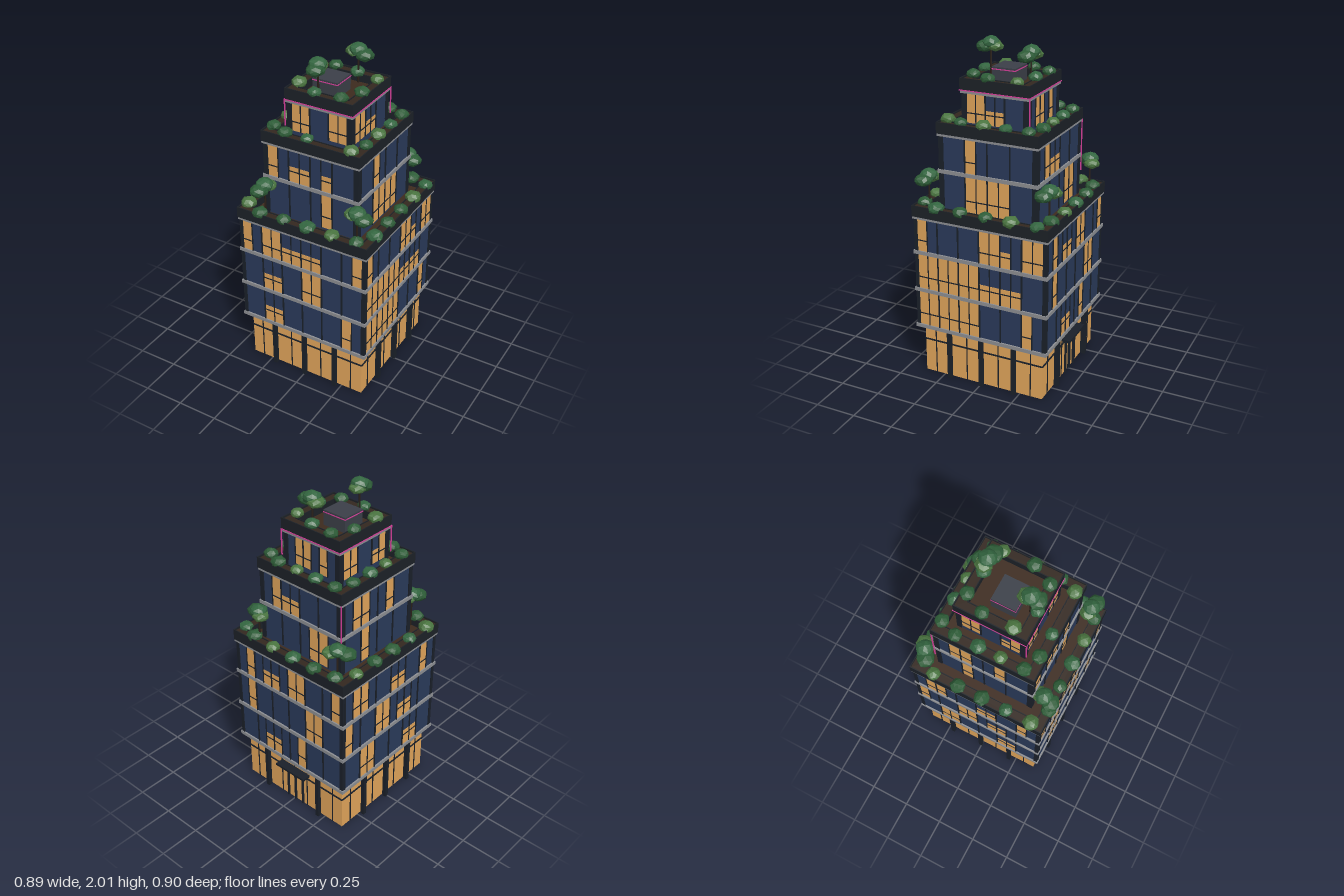
import * as THREE from 'three';

const mat = (color, extra = {}) => new THREE.MeshStandardMaterial({ color, ...extra });
const M = {
  glass: mat(0x2a3a5a), lit: mat(0xe0a45a), frame: mat(0x1a2029), slab: mat(0x8c8e92),
  parapet: mat(0x1c2127), soil: mat(0x33271f), deck: mat(0x3d2a1e), neon: mat(0xd8409c),
  unit: mat(0x3b3f48), bark: mat(0x2a2019),
  leaf: [0x2d5c37, 0x4a7540, 0x336640].map(c => mat(c, { flatShading: true })),
};
const unitBox = new THREE.BoxGeometry(1, 1, 1);

function box(parent, name, m, w, h, d, x, y, z) {
  const b = new THREE.Mesh(unitBox, m);
  b.name = name;
  b.scale.set(w, h, d);
  b.position.set(x, y, z);
  parent.add(b);
  return b;
}

// Square ring between two half widths, from y0 to y1
function ring(parent, name, m, outer, inner, y0, y1) {
  const square = (P, r) => new P([[-r, -r], [r, -r], [r, r], [-r, r]].map(p => new THREE.Vector2(...p)));
  const s = square(THREE.Shape, outer);
  s.holes.push(square(THREE.Path, inner));
  const g = new THREE.ExtrudeGeometry(s, { depth: y1 - y0, bevelEnabled: false });
  g.rotateX(-Math.PI / 2).translate(0, y0, 0);
  const mesh = new THREE.Mesh(g, m);
  mesh.name = name;
  parent.add(mesh);
  return mesh;
}

// Four sides: front, +x, back, -x
function eachSide(parent, name, build) {
  for (let i = 0; i < 4; i++) {
    const side = new THREE.Group();
    side.name = name;
    side.rotation.y = i * Math.PI / 2;
    parent.add(side);
    build(side, i);
  }
}

// One storey of one facade; F = fully lit pane, h = lower part lit, . = dark
function storey(side, row, half, span, y0, y1) {
  const n = row.length, w = 2 * span / n, H = y1 - y0;
  for (let k = 0; k <= n; k++) {
    const pane = row[k], x = -span + k * w;
    const nearLit = 'Fh'.includes(pane ?? '.') || 'Fh'.includes(row[k - 1] ?? '.');
    if (k % 2 === 0 || nearLit)
      box(side, 'mullion', M.frame, k % 2 ? 0.005 : 0.008, H, 0.012, x, (y0 + y1) / 2, half);
    if (pane === 'F' || pane === 'h') {
      const h = pane === 'F' ? H : H * 0.48;
      box(side, 'litWindow', M.lit, w, h, 0.004, x + w / 2, y0 + h / 2, half);
      box(side, 'transom', M.frame, w, 0.006, 0.01, x + w / 2, y0 + H * 0.34, half);
    }
  }
}

const tiers = [
  { half: 0.415, span: 0.4, floors: [[0.33, 0.55], [0.57, 0.79], [0.81, 1.01]], base: 0.31, deck: 1.035,
    rows: [
      ['..hh......F.', '..hh..FF....', 'F.FFhhhh...F'],
      ['FFFFFF....F.', 'FFFFFFhhhh..', 'F.....FFh.FF'],
      ['...hh..F....', '.F......FF..', '.F.hh.FF...F'],
      ['..FF....hh..', 'F...FF.hh...', '.FF...hh..F.'],
    ] },
  { half: 0.303, span: 0.28, floors: [[1.05, 1.27], [1.29, 1.49]], base: 1.03, deck: 1.515,
    rows: [
      ['.....F..', 'F.hh.h..'],
      ['..FFFF..', '..F.....'],
      ['.....FF.', '.Fhh....'],
      ['..F.....', '.FF..F..'],
    ] },
  { half: 0.203, span: 0.178, floors: [[1.555, 1.725]], base: 1.51, deck: 1.755,
    rows: [['FF..FF'], ['FFhh..'], ['.FF.F.'], ['FF..hF']] },
];

function buildTier(parent, t) {
  const g = new THREE.Group();
  g.name = 'tier';
  parent.add(g);
  const top = t.deck - 0.02;
  box(g, 'glassCore', M.glass, 2 * t.half, top - t.base, 2 * t.half, 0, (top + t.base) / 2, 0);
  eachSide(g, 'facade', (side, i) =>
    t.floors.forEach(([y0, y1], f) => storey(side, t.rows[i][f], t.half, t.span, y0, y1)));
  // Corner piers
  const pw = t.half - t.span + 0.004;
  for (const sx of [-1, 1]) for (const sz of [-1, 1])
    box(g, 'cornerPier', M.frame, pw, top - t.base, pw,
      sx * (t.span + pw / 2), (top + t.base) / 2, sz * (t.span + pw / 2));
  // Floor slabs
  const slabs = t.floors.map(f => f[1] + 0.01);
  if (t.base < 0.5) slabs.unshift(0.32);
  for (const y of slabs) box(g, 'floorSlab', M.slab, 2 * t.half + 0.02, 0.022, 2 * t.half + 0.02, 0, y, 0);
  // Terrace: deck, planter walls and soil
  const o = t.half + 0.012;
  box(g, 'terraceDeck', M.deck, 2 * o - 0.01, 0.015, 2 * o - 0.01, 0, t.deck - 0.005, 0);
  ring(g, 'parapet', M.parapet, o, o - 0.006, t.deck - 0.012, t.deck + 0.055);
  ring(g, 'planterSoil', M.soil, o - 0.006, o - 0.055, t.deck, t.deck + 0.045);
  ring(g, 'planterCurb', M.parapet, o - 0.055, o - 0.06, t.deck, t.deck + 0.05);
}

// Ground floor lobby with columns, glazing bars and rear entrance
function buildLobby(parent) {
  const g = new THREE.Group();
  g.name = 'lobby';
  parent.add(g);
  box(g, 'lobbyGlass', M.lit, 0.77, 0.31, 0.77, 0, 0.155, 0);
  eachSide(g, 'lobbySide', (side, i) => {
    for (let k = -3; k <= 3; k++) box(side, 'lobbyMullion', M.frame, 0.005, 0.31, 0.008, k * 0.104, 0.155, 0.386);
    box(side, 'lobbyRail', M.frame, 0.772, 0.008, 0.01, 0, 0.217, 0.386);
    for (const x of [-0.21, 0, 0.21])
      if (i !== 2 || x) box(side, 'column', M.frame, 0.024, 0.31, 0.024, x, 0.155, 0.406);
    if (i === 2) {
      box(side, 'canopy', M.frame, 0.23, 0.014, 0.06, 0.01, 0.247, 0.41);
      for (const x of [-0.06, 0, 0.06]) box(side, 'doorFrame', M.frame, 0.01, 0.2, 0.014, x + 0.01, 0.1, 0.39);
      box(side, 'doorHead', M.frame, 0.13, 0.01, 0.014, 0.01, 0.2, 0.39);
    }
  });
}

// Lumpy low-poly foliage
function leafGeometry(seed) {
  const g = new THREE.IcosahedronGeometry(1, 1), p = g.attributes.position, v = new THREE.Vector3();
  for (let i = 0; i < p.count; i++) {
    v.fromBufferAttribute(p, i);
    v.multiplyScalar(1 + 0.1 * Math.sin(v.x * 5 + seed) * Math.cos(v.z * 4 + v.y * 3 + seed * 2));
    p.setXYZ(i, v.x, v.y, v.z);
  }
  g.computeVertexNormals();
  return g;
}
const leaves = [0, 1.7, 3.1].map(leafGeometry);

function blob(parent, name, i, x, y, z, r, flat) {
  const m = new THREE.Mesh(leaves[i % 3], M.leaf[(i * 2 + (i >> 2)) % 3]);
  m.name = name;
  m.position.set(x, y, z);
  m.scale.set(r, r * flat, r);
  m.rotation.y = i * 1.3;
  parent.add(m);
}

function tree(parent, x, z, y0, yc, dx, dz) {
  const g = new THREE.Group();
  g.name = 'tree';
  parent.add(g);
  const trunk = new THREE.Mesh(new THREE.CylinderGeometry(0.005, 0.007, yc - y0, 6), M.bark);
  trunk.name = 'trunk';
  trunk.position.set(x, (y0 + yc) / 2, z);
  g.add(trunk);
  blob(g, 'crown', 1, x, yc + 0.022, z, 0.053, 0.72);
  blob(g, 'crown', 0, x + dx, yc, z + dz, 0.053, 0.65);
  blob(g, 'crown', 6, x - dx * 0.7, yc + 0.004, z - dz * 0.7, 0.048, 0.65);
}

export function createModel() {
  const model = new THREE.Group();
  model.name = 'terracedTower';
  const building = new THREE.Group();
  building.name = 'building';
  building.position.z = -0.006;
  model.add(building);

  buildLobby(building);
  tiers.forEach(t => buildTier(building, t));

  // Rooftop unit and neon trim
  box(building, 'roofUnit', M.unit, 0.157, 0.1, 0.145, -0.028, 1.8, 0.023);
  const trim = ring(building, 'roofUnitNeon', M.neon, 0.5, 0.49, 1.834, 1.84);
  trim.scale.set(0.161, 1, 0.149);
  trim.position.set(-0.028, 0, 0.023);
  ring(building, 'crownNeon', M.neon, 0.218, 0.212, 1.738, 1.744);
  for (const s of [-1, 1]) box(building, 'neonTube', M.neon, 0.006, 0.16, 0.006, s * 0.215, 1.66, -s * 0.215);
  box(building, 'neonTube', M.neon, 0.006, 0.32, 0.006, -0.312, 1.34, -0.312);

  // Shrubs along the planters: [x, z]
  const shrubs = [
    [1.088, 0.045, [[-0.186, -0.405], [-0.028, -0.405], [0.13, -0.405], [0.29, -0.39], [-0.33, -0.39],
      [0.397, -0.355], [0.397, -0.195], [0.397, -0.04], [0.397, 0.12], [0.397, 0.275],
      [-0.397, -0.29], [-0.397, -0.13], [-0.397, 0.025], [-0.397, 0.18], [-0.397, 0.34],
      [-0.28, 0.395], [-0.126, 0.39], [0.032, 0.39], [0.19, 0.39], [0.34, 0.38]]],
    [1.575, 0.041, [[-0.237, -0.285], [-0.098, -0.285], [0.04, -0.285], [0.177, -0.285],
      [0.277, -0.245], [0.277, -0.108], [0.277, 0.03], [0.277, 0.17],
      [-0.277, -0.185], [-0.277, -0.043], [-0.277, 0.09], [-0.277, 0.23],
      [-0.177, 0.27], [-0.035, 0.27], [0.24, 0.27]]],
    [1.815, 0.041, [[-0.12, -0.185], [0.03, -0.17], [0.177, -0.13], [0.18, 0.05], [0.12, 0.17],
      [-0.04, 0.18], [-0.177, 0.113], [-0.18, -0.067]]],
  ];
  for (const [y, r, spots] of shrubs)
    spots.forEach(([x, z], i) => blob(model, 'shrub', i, x, y, z, r * (1 + 0.08 * Math.sin(i * 2.3)), 0.72));

  // Terrace trees, then roof trees
  for (const [x, z, dx, dz] of [[-0.33, -0.37, -0.045, 0.03], [0.27, -0.37, 0.04, 0.02],
    [0.33, 0.355, 0.045, 0.01], [-0.27, 0.355, -0.01, 0.045]]) tree(model, x, z, 1.04, 1.235, dx, dz);
  tree(model, 0.045, -0.15, 1.76, 1.937, 0.045, 0.01);
  tree(model, -0.04, 0.14, 1.76, 1.942, 0.005, 0.035);
  return model;
}
